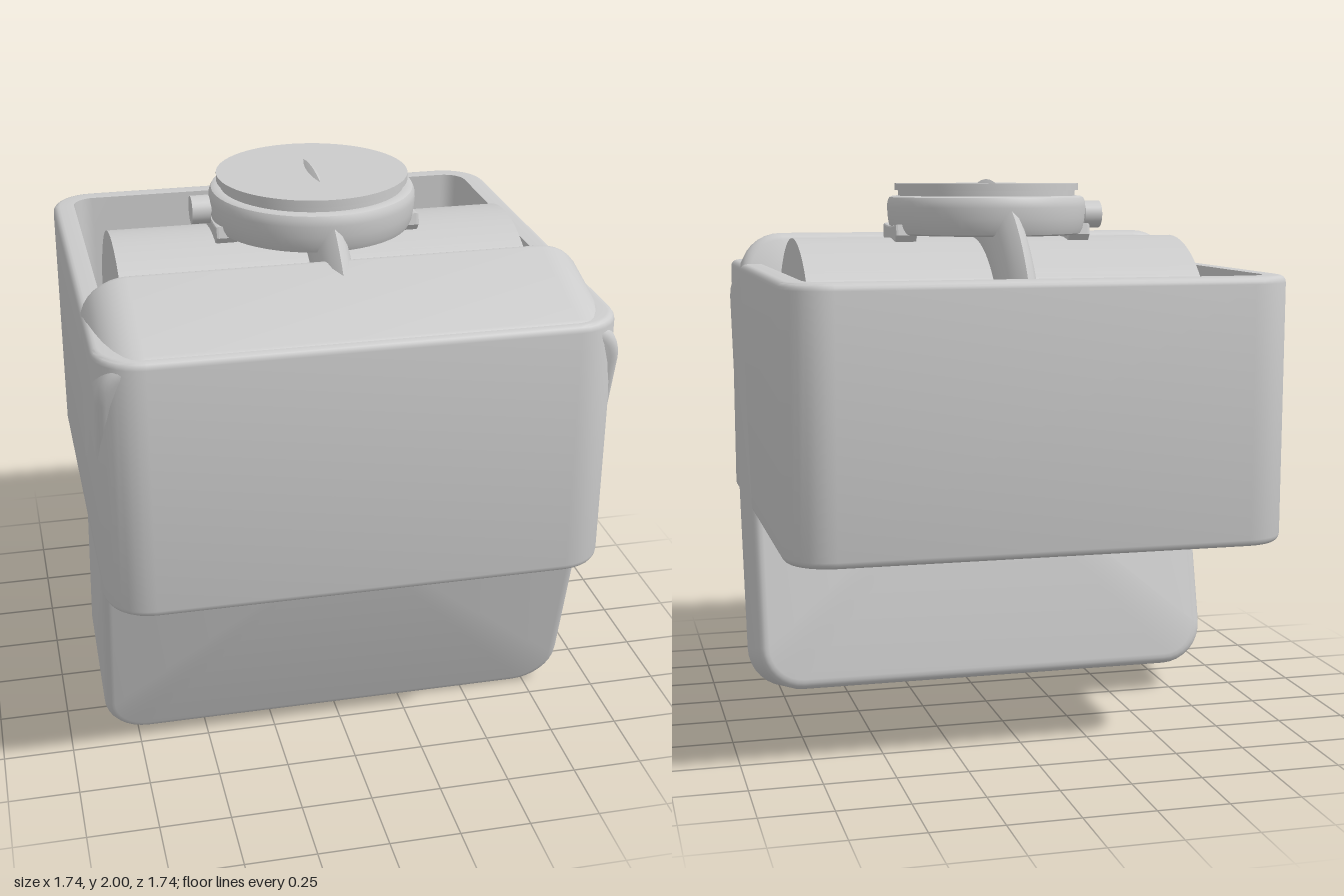
import * as THREE from 'three';
import { toCreasedNormals } from 'three/addons/utils/BufferGeometryUtils.js';

const material = new THREE.MeshStandardMaterial({ color: 0xcccccc });

function add(parent, name, geometry, x = 0, y = 0, z = 0) {
  const mesh = new THREE.Mesh(geometry, material);
  mesh.name = name;
  mesh.position.set(x, y, z);
  parent.add(mesh);
  return mesh;
}

// Outline of a square with rounded corners, counter-clockwise seen from +y
function roundedSquare(half, radius, y, steps = 8) {
  const points = [];
  for (let c = 0; c < 4; c++) {
    const mid = Math.PI / 4 + c * Math.PI / 2;
    const cx = Math.sign(Math.cos(mid)) * (half - radius);
    const cz = Math.sign(Math.sin(mid)) * (half - radius);
    for (let i = 0; i <= steps; i++) {
      const a = (c + i / steps) * Math.PI / 2;
      points.push(cx + Math.cos(a) * radius, y, -cz - Math.sin(a) * radius);
    }
  }
  return points;
}

// Skin through rounded squares given as [half width, y, corner radius]
function loftSquares(profile) {
  const positions = profile.flatMap(([half, y, r]) => roundedSquare(half, r, y));
  const n = 36;
  const index = [];
  for (let k = 0; k < profile.length - 1; k++) {
    for (let i = 0; i < n; i++) {
      const a = k * n + i, b = k * n + (i + 1) % n;
      index.push(a, b, b + n, a, b + n, a + n);
    }
  }
  const geometry = new THREE.BufferGeometry();
  geometry.setAttribute('position', new THREE.Float32BufferAttribute(positions, 3));
  geometry.setIndex(index);
  return toCreasedNormals(geometry, 0.6);
}

// Quarter-round edge; the corner radius shrinks along with the width
function edge(half, y, corner, r, from, to) {
  const points = [];
  for (let i = 0; i <= 4; i++) {
    const a = from + (to - from) * i / 4;
    const inset = r * (1 - Math.cos(a));
    points.push([half - inset, y + r * Math.sin(a), corner - inset]);
  }
  return points;
}

function lathe(points, segments = 64) {
  const geometry = new THREE.LatheGeometry(points.map(([r, y]) => new THREE.Vector2(r, y)), segments);
  return toCreasedNormals(geometry, 0.5);
}

export function createModel() {
  const model = new THREE.Group();
  model.name = 'boxedWatch';
  const q = Math.PI / 2;

  // Open box with a rounded rim and a flat floor
  add(model, 'box', loftSquares([
    [0, 0.76, 0],
    ...edge(0.87, 0.785, 0.16, 0.025, -q, 0),
    ...edge(0.87, 1.655, 0.16, 0.025, 0, q),
    [0.79, 1.68, 0.08],
    [0.79, 0.84, 0.08],
    [0, 0.84, 0],
  ]));

  // Lid leaning through the front of the box
  const lid = add(model, 'lid', loftSquares([
    [0, -0.245, 0],
    ...edge(0.87, -0.21, 0.16, 0.035, -q, 0),
    ...edge(0.87, 0.21, 0.16, 0.035, 0, q),
    [0, 0.245, 0],
  ]), 0, 0.9, 0.402);
  lid.rotation.x = q + THREE.MathUtils.degToRad(15);

  // Cushion roll
  const cushion = new THREE.CylinderGeometry(0.455, 0.455, 1.44, 64).rotateZ(q);
  add(model, 'cushion', cushion, 0, 1.335, 0);

  // Ridged strap ring around the cushion
  const strap = lathe([
    [0.43, -0.05], [0.5, -0.065], [0.56, -0.063], [0.61, -0.048], [0.645, -0.028], [0.67, 0],
    [0.645, 0.028], [0.61, 0.048], [0.56, 0.063], [0.5, 0.065], [0.43, 0.05], [0.43, -0.05],
  ], 96).rotateZ(q);
  add(model, 'strap', strap, 0, 1.33, 0);

  // Watch
  const watch = new THREE.Group();
  watch.name = 'watch';
  model.add(watch);
  add(watch, 'case', lathe([
    [0, 1.8], [0.335, 1.8], [0.348, 1.805], [0.357, 1.825], [0.363, 1.86], [0.366, 1.9],
    [0.364, 1.92], [0.357, 1.935], [0.345, 1.94], [0.325, 1.94], [0.325, 1.96],
    [0.338, 1.96], [0.338, 1.985], [0, 1.985],
  ]));
  add(watch, 'crown', new THREE.CylinderGeometry(0.05, 0.05, 0.065, 24).rotateZ(q), -0.402, 1.87, 0);
  add(watch, 'crownStem', new THREE.CylinderGeometry(0.025, 0.025, 0.06, 16).rotateZ(q), -0.36, 1.87, 0);

  // Lug pairs joined by a bar on both sides
  const lugShape = new THREE.Shape();
  lugShape.moveTo(-0.1, 1.77);
  lugShape.quadraticCurveTo(0, 1.785, 0.1, 1.77);
  lugShape.lineTo(0.123, 1.8);
  lugShape.lineTo(0.115, 1.84);
  lugShape.quadraticCurveTo(0, 1.825, -0.115, 1.84);
  lugShape.lineTo(-0.123, 1.8);
  lugShape.closePath();
  for (const side of [-1, 1]) {
    const lug = add(watch, side > 0 ? 'leftLug' : 'rightLug', new THREE.ExtrudeGeometry(lugShape, {
      depth: 0.06, bevelThickness: 0.01, bevelSize: 0.006, bevelOffset: -0.006, bevelSegments: 2,
    }), side * 0.295, 0, 0);
    lug.rotation.y = side * q;
  }
  return model;
}
